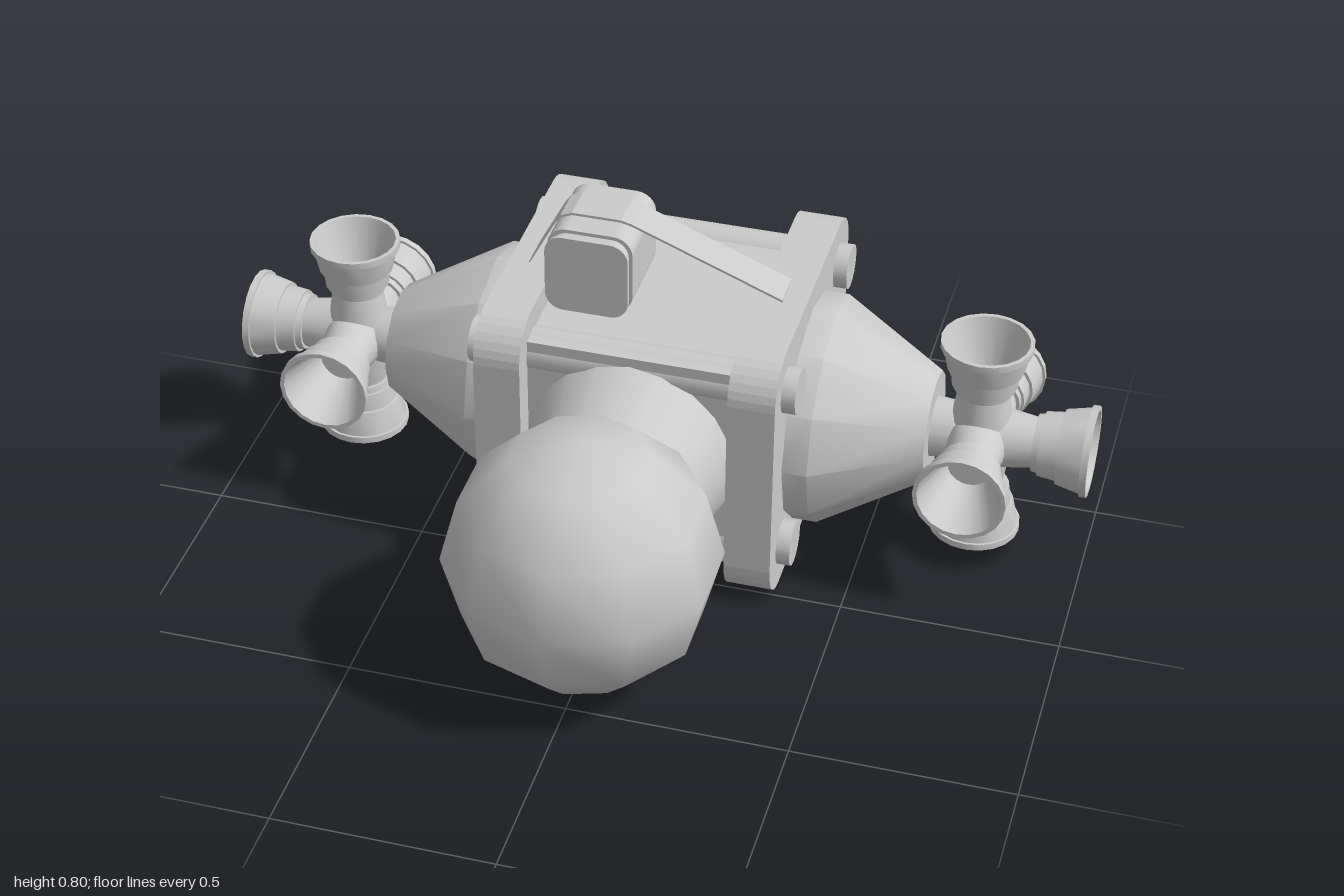
import * as THREE from 'three';
import { toCreasedNormals } from 'three/addons/utils/BufferGeometryUtils.js';

const material = new THREE.MeshStandardMaterial({ color: 0xcccccc });
const AXIS_Y = 0.323, AXIS_Z = -0.303;

function add(parent, name, geometry, x = 0, y = 0, z = 0) {
  const mesh = new THREE.Mesh(geometry, material);
  mesh.name = name;
  mesh.position.set(x, y, z);
  parent.add(mesh);
  return mesh;
}

// Lathe around y from [radius, height] pairs, with sharp profile steps
function turned(profile, sides) {
  const points = profile.map(([r, h]) => new THREE.Vector2(r, h));
  return toCreasedNormals(new THREE.LatheGeometry(points, sides), 0.6);
}

// Rounded rectangle in xy, extruded along z and centred
function roundedSlab(w, h, r, depth, segments) {
  const s = new THREE.Shape(), a = w / 2, b = h / 2;
  s.absarc(a - r, b - r, r, 0, Math.PI / 2);
  s.absarc(-a + r, b - r, r, Math.PI / 2, Math.PI);
  s.absarc(-a + r, -b + r, r, Math.PI, Math.PI * 1.5);
  s.absarc(a - r, -b + r, r, Math.PI * 1.5, Math.PI * 2);
  s.closePath();
  const g = new THREE.ExtrudeGeometry(s, { depth, bevelEnabled: false, curveSegments: segments });
  return g.translate(0, 0, -depth / 2);
}

// Flared, hollow thruster bell with stepped rings; the mouth points to +y
const nozzleGeometry = turned([
  [0.072, 0.03], [0.058, 0.125], [0.066, 0.125], [0.068, 0.14], [0.074, 0.14],
  [0.079, 0.183], [0.086, 0.183], [0.099, 0.241], [0.105, 0.241], [0.105, 0.257],
  [0.095, 0.257], [0.05, 0.13], [0, 0.13],
], 20);

// Cone housing and thruster cluster, pointing to +x
function thrusterEnd(name) {
  const end = new THREE.Group();
  end.name = name;
  const cone = turned([[0.265, 0.33], [0.265, 0.4], [0.128, 0.636], [0, 0.636]], 12);
  add(end, 'endCone', cone.rotateZ(-Math.PI / 2));

  const cluster = new THREE.Group();
  cluster.name = 'thrusterCluster';
  cluster.position.x = 0.743;
  end.add(cluster);
  add(cluster, 'thrusterHub', new THREE.SphereGeometry(0.078, 16, 12));
  const neck = new THREE.CylinderGeometry(0.06, 0.072, 0.12, 16).rotateZ(-Math.PI / 2);
  add(cluster, 'thrusterNeck', neck, -0.06);
  for (let i = 0; i < 4; i++) {
    add(cluster, 'sideNozzle', nozzleGeometry).rotation.x = i * Math.PI / 2;
  }
  add(cluster, 'endNozzle', nozzleGeometry).rotation.z = -Math.PI / 2;
  return end;
}

export function createModel() {
  const model = new THREE.Group();
  model.name = 'thrusterModule';

  // Central block between the two plates
  add(model, 'coreBlock', new THREE.BoxGeometry(0.5, 0.525, 0.505), 0, AXIS_Y, -0.2645);

  // End plates
  const plate = roundedSlab(0.72, 0.645, 0.1, 0.107, 4).rotateY(Math.PI / 2);
  for (const side of [-1, 1]) add(model, 'endPlate', plate, side * 0.29, 0.3225, -0.313);

  // Tie rods through the plate corners
  const rod = new THREE.CylinderGeometry(0.053, 0.053, 0.75, 16).rotateZ(Math.PI / 2);
  for (const y of [0.112, 0.538]) {
    for (const z of [-0.06, -0.566]) add(model, 'tieRod', rod, 0, y, z);
  }

  // Thruster ends
  for (const [name, turn] of [['leftThrusterEnd', 0], ['rightThrusterEnd', Math.PI]]) {
    const end = thrusterEnd(name);
    end.position.set(0, AXIS_Y, AXIS_Z);
    end.rotation.y = turn;
    model.add(end);
  }

  // Faceted tank and its tapering collar
  const tank = new THREE.SphereGeometry(0.308, 10, 6).rotateY(Math.PI / 2);
  add(model, 'sphericalTank', tank, 0, AXIS_Y, 0.363);
  const collar = new THREE.CylinderGeometry(0.2, 0.245, 0.18, 20).rotateX(Math.PI / 2);
  add(model, 'tankCollar', collar, 0, AXIS_Y, 0.06);

  // Equipment pod, with a recessed seam and lid at the front
  const pod = new THREE.Group();
  pod.name = 'equipmentPod';
  pod.position.set(-0.138, 0.688, 0);
  model.add(pod);
  add(pod, 'podBody', roundedSlab(0.197, 0.197, 0.045, 0.195, 5), 0, 0, -0.2725);
  add(pod, 'podSeam', roundedSlab(0.18, 0.18, 0.04, 0.03, 5), 0, 0, -0.165);
  add(pod, 'podLid', roundedSlab(0.192, 0.192, 0.042, 0.012, 5), 0, 0, -0.15);

  // Thin strap running over the pod and down to both plates
  const path = [[-0.297, 0.642], [-0.237, 0.757], [-0.222, 0.779], [-0.195, 0.79],
    [-0.082, 0.79], [-0.055, 0.783], [0.29, 0.645]];
  const outline = [...path, ...path.map(([x, y]) => [x, y + 0.006]).reverse()];
  const strap = new THREE.ExtrudeGeometry(
    new THREE.Shape(outline.map(([x, y]) => new THREE.Vector2(x, y))),
    { depth: 0.087, bevelEnabled: false });
  add(model, 'strap', strap, 0, 0, -0.317);

  return model;
}
